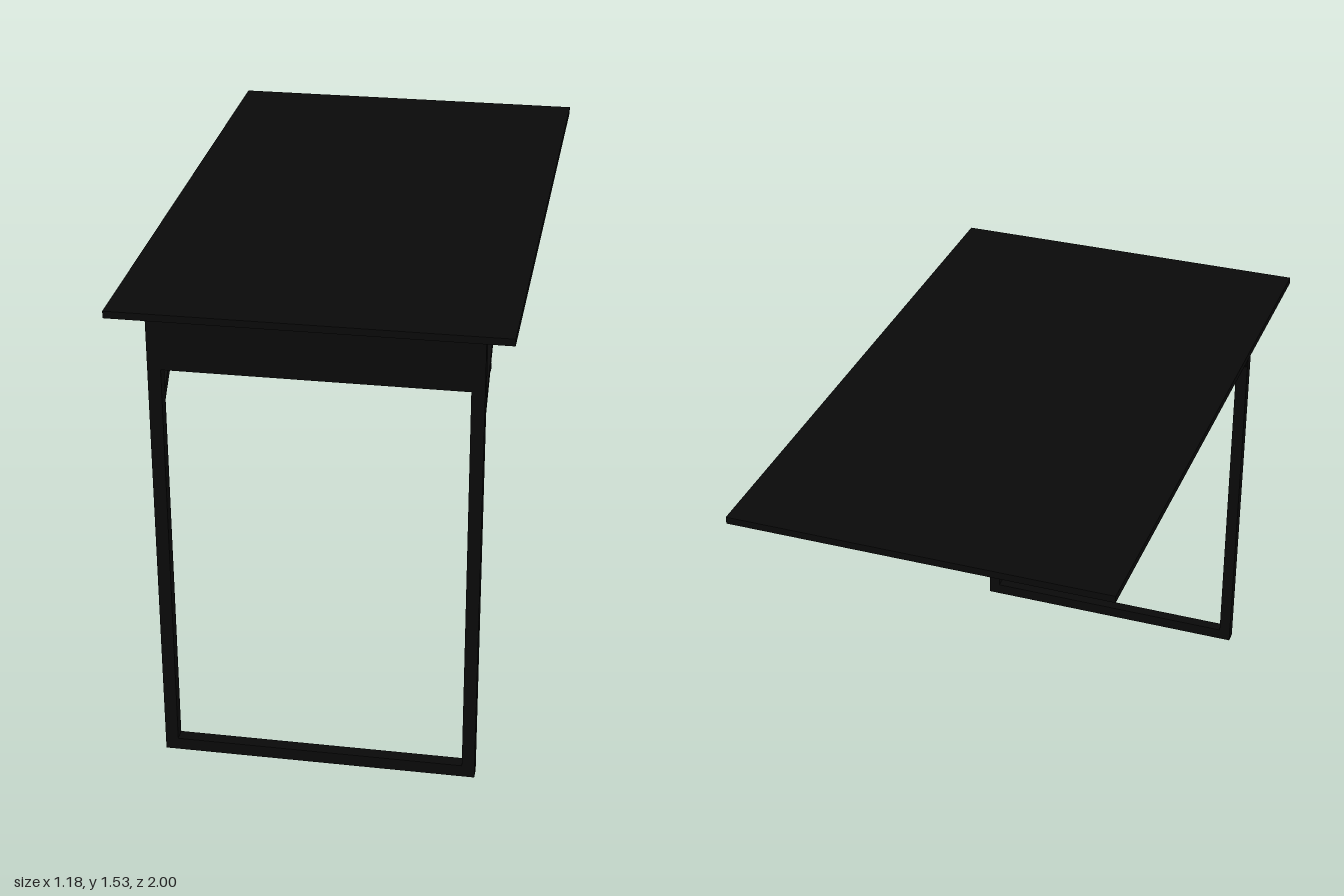
import * as THREE from 'three';

const black = new THREE.MeshStandardMaterial({ color: 0x0a0a0a });
const steel = new THREE.MeshStandardMaterial({ color: 0xcccccc });

export function createModel() {
  const table = new THREE.Group();
  table.name = 'foldingWallTable';

  // Box given by its extents on each axis
  const box = (name, [x0, x1], [y0, y1], [z0, z1]) => {
    const mesh = new THREE.Mesh(new THREE.BoxGeometry(x1 - x0, y1 - y0, z1 - z0), black);
    mesh.position.set((x0 + x1) / 2, (y0 + y1) / 2, (z0 + z1) / 2);
    mesh.name = name;
    table.add(mesh);
  };

  const left = 0.505, right = -0.48, bar = 0.04;
  const legZ = [0.912, 0.952];

  box('tableTop', [-0.59, 0.59], [1.513, 1.535], [-1, 1]);

  // Leg frame with its apron and the mounting plate under the top
  box('rightLeg', [right, right + bar], [0, 1.513], legZ);
  box('leftLeg', [left - bar, left], [0, 1.513], legZ);
  box('footBar', [right + bar, left - bar], [0, bar], legZ);
  box('apron', [right + bar, left - bar], [1.338, 1.513], [0.917, 0.952]);
  box('mountingPlate', [right, left], [1.488, 1.513], [0.617, 0.912]);

  // Diagonal braces: local +y runs up the brace, local -z is its underside
  const low = new THREE.Vector2(0.922, 1.215), high = new THREE.Vector2(0.645, 1.495);
  const length = low.distanceTo(high);
  for (const [side, x] of [['right', right + bar / 2], ['left', left - bar / 2]]) {
    const brace = new THREE.Group();
    brace.name = side + 'Brace';
    brace.position.set(x, (low.y + high.y) / 2, (low.x + high.x) / 2);
    brace.rotation.x = Math.atan2(high.x - low.x, high.y - low.y);

    const strut = new THREE.Mesh(new THREE.BoxGeometry(0.034, length, 0.026), black);
    strut.name = 'strut';
    brace.add(strut);

    // Hinge pins at the middle and near the top
    for (const y of [-0.01, 0.165]) {
      const pin = new THREE.Mesh(new THREE.CylinderGeometry(0.011, 0.011, 0.036, 16), black);
      pin.name = 'hingePin';
      pin.rotation.z = Math.PI / 2;
      pin.position.set(0, y, -0.012);
      brace.add(pin);
    }

    // Steel locking plate under the upper half
    if (side === 'right') {
      const plate = new THREE.Mesh(new THREE.BoxGeometry(0.032, 0.175, 0.004), steel);
      plate.name = 'lockingPlate';
      plate.position.set(0, 0.0775, -0.015);
      brace.add(plate);
    }
    table.add(brace);
  }
  return table;
}
